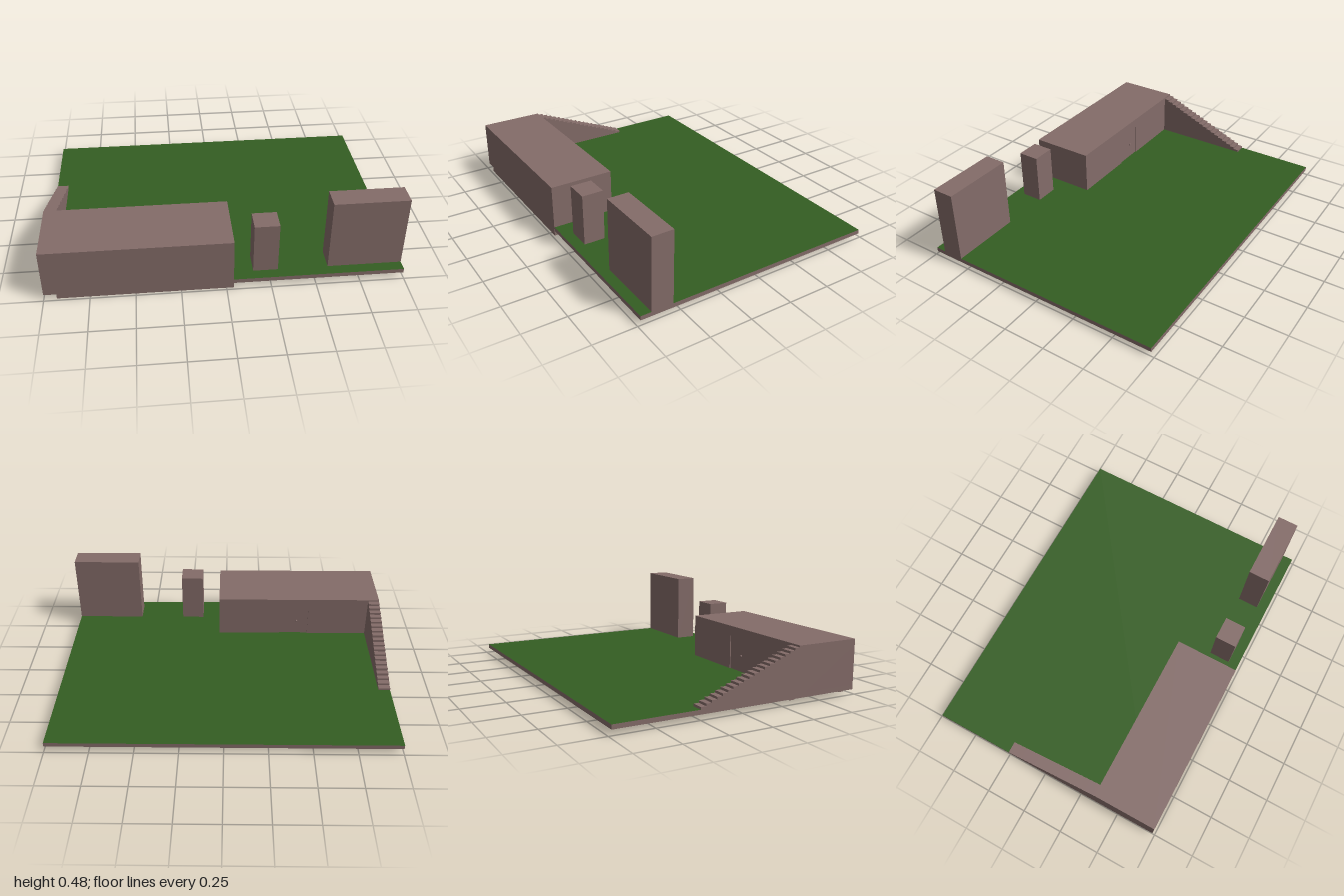
import * as THREE from 'three';

export function createModel() {
  const model = new THREE.Group();
  model.name = 'buildingOnLawn';
  const brown = new THREE.MeshStandardMaterial({ color: 0x846c69 });
  brown.name = 'brown plaster';
  const green = new THREE.MeshStandardMaterial({ color: 0x345e22 });
  green.name = 'grass green';

  // Box from its minimum and maximum corners
  function box(name, x0, x1, y0, y1, z0, z1, parent = model, material = brown) {
    const mesh = new THREE.Mesh(new THREE.BoxGeometry(x1 - x0, y1 - y0, z1 - z0), material);
    mesh.position.set((x0 + x1) / 2, (y0 + y1) / 2, (z0 + z1) / 2);
    mesh.name = name;
    parent.add(mesh);
    return mesh;
  }

  // Ground slab, only its top is grass
  const ground = 0.055;
  box('groundSlab', -1, 1, 0.03, ground, -0.733, 0.733, model,
    [brown, brown, green, brown, brown, brown]);

  // Hollow house: walls reach through the slab, except on the stair side
  const house = new THREE.Group();
  house.name = 'house';
  model.add(house);
  const t = 0.033, top = 0.315, back = 0.355, front = 0.735, eave = top - 0.03;
  const doorL = -0.36, doorR = -0.545, doorTop = 0.255;
  box('roof', -1, 0.04, eave, top, back, front, house);
  box('frontWall', -0.93, 0.04, 0, eave, front - t, front, house);
  box('leftWall', 0.04 - t, 0.04, 0, eave, back + t, front - t, house);
  box('rightWall', -1, -0.93, 0.03, eave, back, front, house);
  box('backWallLeft', doorL, 0.04, 0, eave, back, back + t, house);
  box('backWallRight', -0.93, doorR, 0, eave, back, back + t, house);
  box('doorLintel', doorR, doorL, doorTop, eave, back, back + t, house);

  // Slightly recessed door with a small knob
  box('door', doorR, doorL, ground, doorTop, back + 0.006, back + 0.024, house);
  const knob = new THREE.Mesh(new THREE.SphereGeometry(0.007, 12, 8), brown);
  knob.name = 'doorKnob';
  knob.position.set(-0.47, 0.15, back + 0.003);
  house.add(knob);

  // Solid staircase: stepped side profile drawn in (z, y), extruded across x
  const steps = 19, foot = -0.25;
  const run = (back - foot) / steps, rise = 0.25 / steps;
  const profile = new THREE.Shape();
  profile.moveTo(-foot, ground);
  for (let i = 0; i < steps; i++) {
    const y = ground + (i + 1) * rise;
    profile.lineTo(-(foot + i * run), y);
    profile.lineTo(-(foot + (i + 1) * run), y);
  }
  profile.lineTo(-back, ground);
  const stairs = new THREE.Mesh(
    new THREE.ExtrudeGeometry(profile, { depth: 0.07, bevelEnabled: false }), brown);
  stairs.rotation.y = Math.PI / 2;
  stairs.position.x = -1;
  stairs.name = 'staircase';
  model.add(stairs);

  // Free-standing blocks beside the house
  box('smallBlock', 0.155, 0.295, ground, 0.36, 0.543, 0.67);
  box('tallBlock', 0.578, 1, ground, 0.482, 0.543, 0.67);

  return model;
}
